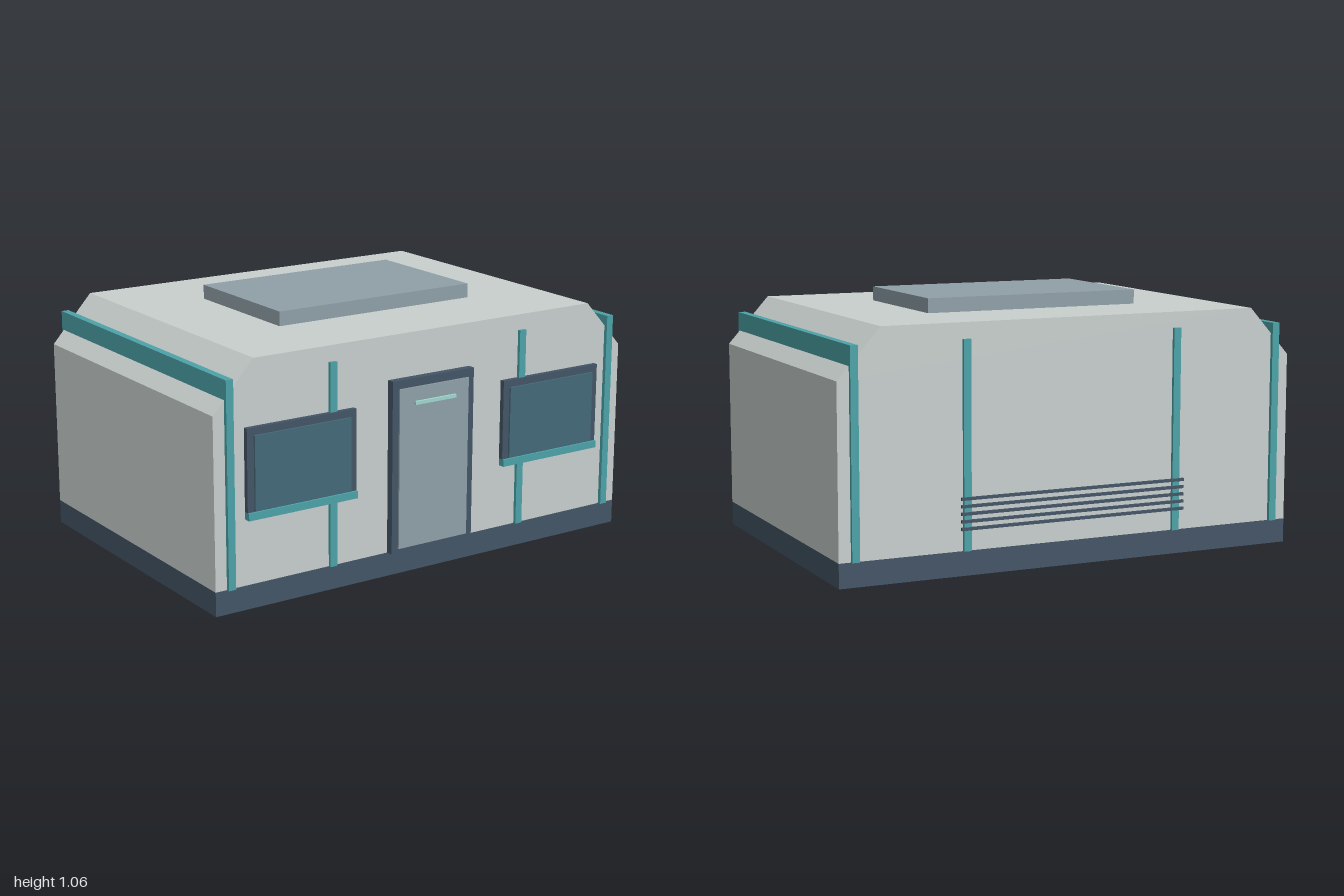
import * as THREE from 'three';

const mat = (color) => new THREE.MeshStandardMaterial({ color, flatShading: true });

export function createModel() {
  const model = new THREE.Group();
  const wall = mat(0xc8d0ce), navy = mat(0x445566), teal = mat(0x4ca3a8);
  const panel = mat(0x90a0a8), glass = mat(0x456a7a), mint = mat(0xa0d8d0);
  const zBack = -0.685, zFront = 0.65;

  // Box given by its min and max on each axis
  const box = (name, material, [x0, x1], [y0, y1], [z0, z1], parent = model) => {
    const mesh = new THREE.Mesh(new THREE.BoxGeometry(x1 - x0, y1 - y0, z1 - z0), material);
    mesh.position.set((x0 + x1) / 2, (y0 + y1) / 2, (z0 + z1) / 2);
    mesh.name = name;
    parent.add(mesh);
    return mesh;
  };

  // Foundation
  box('foundation', navy, [-1, 1], [0, 0.1], [zBack, zFront]);

  // Building body with chamfered roof edges
  const outline = new THREE.Shape(
    [[-1, 0.1], [1, 0.1], [1, 0.8], [0.82, 1], [-0.82, 1], [-1, 0.8]].map(([x, y]) => new THREE.Vector2(x, y)));
  const body = new THREE.Mesh(
    new THREE.ExtrudeGeometry(outline, { depth: zFront - zBack, bevelEnabled: false }), wall);
  body.position.z = zBack;
  body.name = 'body';
  model.add(body);

  // Raised roof panel
  box('roofPanel', panel, [-0.47, 0.47], [1, 1.06], [-0.32, 0.28]);

  // Door with frame, leaf and bar
  const door = new THREE.Group();
  door.name = 'door';
  box('doorFrame', navy, [-0.2, 0.2], [0.1, 0.82], [zFront, 0.682], door);
  box('doorLeaf', panel, [-0.17, 0.17], [0.12, 0.785], [zFront, 0.689], door);
  box('doorBar', mint, [-0.1, 0.1], [0.714, 0.728], [0.689, 0.7], door);
  model.add(door);

  for (const [side, s] of [['left', 1], ['right', -1]]) {
    const span = (a, b) => (s > 0 ? [a, b] : [-b, -a]);

    // Outer rib wraps over the chamfer from front to back
    box(side + 'OuterRib', teal, span(0.918, 0.95), [0.1, 0.935], [-0.7, 0.666]);

    // Inner wall posts
    box(side + 'FrontPost', teal, span(0.45, 0.482), [0.1, 0.935], [zFront, 0.664]);
    box(side + 'BackPost', teal, span(0.45, 0.482), [0.1, 0.935], [-0.698, zBack]);

    // Window
    const win = new THREE.Group();
    win.name = side + 'Window';
    box('windowFrame', navy, span(0.365, 0.865), [0.4, 0.735], [zFront, 0.671], win);
    box('windowGlass', glass, span(0.395, 0.835), [0.405, 0.705], [zFront, 0.68], win);
    box('windowSill', teal, span(0.365, 0.865), [0.37, 0.4], [zFront, 0.681], win);
    model.add(win);
  }

  // Horizontal rails across the back posts
  const rails = new THREE.Group();
  rails.name = 'backRails';
  for (let i = 0; i < 5; i++) {
    const y = 0.19 + i * 0.03;
    box('backRail', navy, [-0.5, 0.495], [y - 0.006, y + 0.006], [-0.704, -0.694], rails);
  }
  model.add(rails);

  return model;
}
